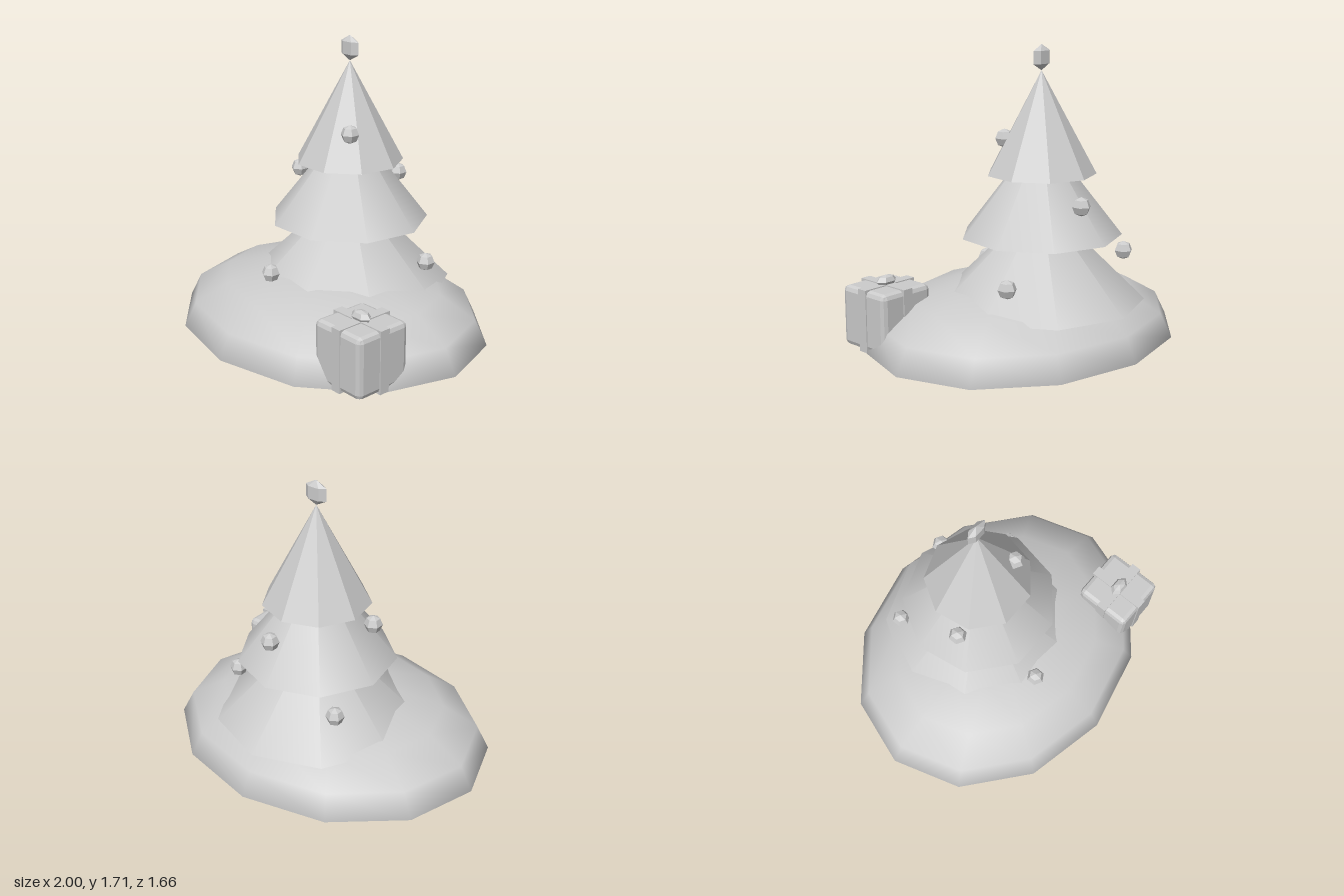
import * as THREE from 'three';
import { RoundedBoxGeometry } from 'three/addons/geometries/RoundedBoxGeometry.js';

export function createModel() {
  const smooth = new THREE.MeshStandardMaterial({ color: 0xcccccc, side: THREE.DoubleSide });
  smooth.name = 'plain grey';
  const root = new THREE.Group();
  root.name = 'treeOnMound';

  function add(parent, name, geometry, x = 0, y = 0, z = 0) {
    const mesh = new THREE.Mesh(geometry, smooth);
    mesh.name = name;
    mesh.position.set(x, y, z);
    parent.add(mesh);
    return mesh;
  }

  // Faceted shading held in the normals, so one material serves every part
  function faceted(geometry) {
    const g = geometry.index ? geometry.toNonIndexed() : geometry;
    g.computeVertexNormals();
    return g;
  }

  // Low ball with six sides, stretched to the given radii
  function ball(rx, ry, rz, rows, turn = 0) {
    return faceted(new THREE.SphereGeometry(1, 6, rows).rotateY(turn).scale(rx, ry, rz));
  }

  // Snow mound: open, flattened dome
  add(root, 'snowMound',
    new THREE.SphereGeometry(1, 12, 4, 0, Math.PI * 2, 0, Math.PI / 2).scale(1, 0.375, 0.83));

  // Tree: trunk, two smooth tiers and a faceted top
  const tree = new THREE.Group();
  tree.name = 'tree';
  tree.position.z = -0.14;
  root.add(tree);

  add(tree, 'trunk', faceted(new THREE.CylinderGeometry(0.08, 0.08, 0.25, 6)), 0, 0.135, 0);
  const tiers = [
    ['lowerTier', 0.6, 0.24, 0.825],
    ['middleTier', 0.465, 0.622, 1.22],
    ['topTier', 0.315, 0.975, 1.56],
  ];
  for (const [name, radius, base, apex] of tiers) {
    const cone = new THREE.ConeGeometry(radius, apex - base, 9).rotateY(Math.PI);
    add(tree, name, name === 'topTier' ? faceted(cone) : cone, 0, (base + apex) / 2, 0);
  }
  add(tree, 'treeTopper', ball(0.08, 0.073, 0.033, 3), 0, 1.632, 0);

  // Baubles
  const baubles = [
    [0.155, 1.18, 0], [-0.315, 0.875, -0.03], [0.06, 0.84, -0.485],
    [-0.37, 0.507, -0.455], [0.47, 0.425, -0.31], [-0.095, 0.372, 0.385],
  ];
  for (const p of baubles) add(root, 'bauble', ball(0.054, 0.054, 0.054, 4, Math.PI / 6), ...p);

  // Gift: chamfered box, two ribbon loops and a bow
  const gift = new THREE.Group();
  gift.name = 'gift';
  gift.position.set(0.695, 0.186, 0.415);
  root.add(gift);
  add(gift, 'giftBox', faceted(new RoundedBoxGeometry(0.352, 0.352, 0.352, 1, 0.03)));
  add(gift, 'ribbonAcross', new THREE.BoxGeometry(0.364, 0.364, 0.062));
  add(gift, 'ribbonAlong', new THREE.BoxGeometry(0.062, 0.364, 0.364));
  add(gift, 'bow', ball(0.07, 0.035, 0.042, 4), 0, 0.197, 0);

  return root;
}
